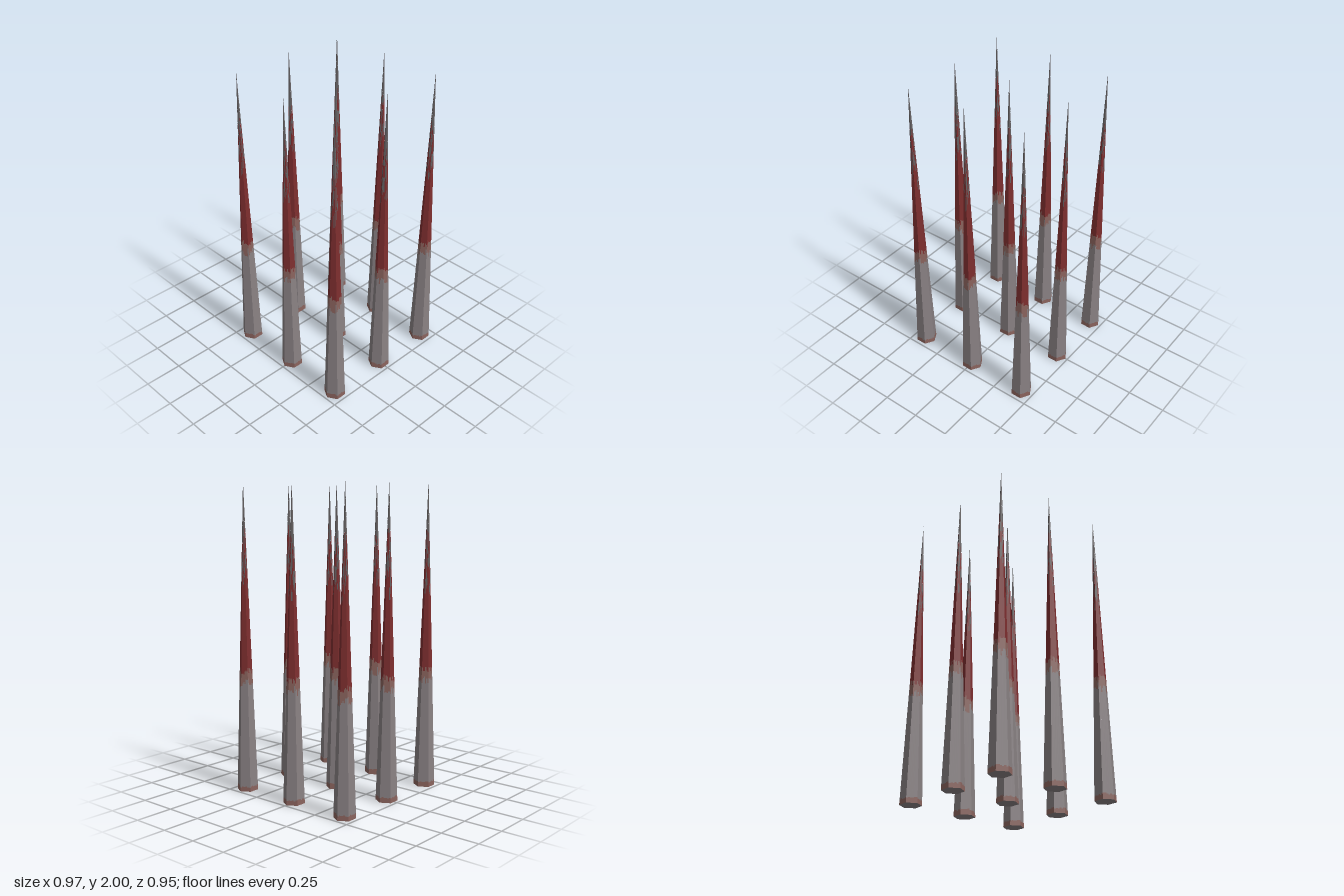
import * as THREE from 'three';

const HEIGHT = 2, RADIUS = 0.07, SPACING = 0.416, SIDES = 6, COLUMNS = 6;

function seeded(seed) {
  return () => (seed = (seed * 16807) % 2147483647) / 2147483647;
}

const mat = (name, color) => {
  const m = new THREE.MeshStandardMaterial({ color });
  m.name = name;
  return m;
};

// Point on the hexagonal cone: side index, fraction across the side, height
function conePoint(side, t, y) {
  const r = Math.max(RADIUS * (1 - y / HEIGHT), 0.0003);
  const a = (side * Math.PI) / 3, b = a + Math.PI / 3;
  return [
    r * THREE.MathUtils.lerp(Math.cos(a), Math.cos(b), t), y,
    -r * THREE.MathUtils.lerp(Math.sin(a), Math.sin(b), t),
  ];
}

export function createModel() {
  const group = new THREE.Group();
  group.name = 'spikeTrap';
  const materials = {
    metal: mat('grey metal', 0x898183),
    blood: mat('dark red', 0x7e2e2f),
    smear: mat('brown smear', 0x8a635d),
    tip: mat('tip grey', 0x666263),
  };

  // Each side is cut into narrow columns whose colour bands end at ragged heights
  const bands = { metal: [], blood: [], smear: [], tip: [] };
  const rand = seeded(4217);
  const vary = (low, high) => low + (high - low) * rand();
  for (let side = 0; side < SIDES; side++) {
    for (let c = 0; c < COLUMNS; c++) {
      const t0 = c / COLUMNS, t1 = (c + 1) / COLUMNS;
      const redEnd = vary(1.28, 1.5);
      const streakEnd = redEnd + vary(0.04, 0.12);
      const steps = [
        ['smear', vary(0.025, 0.04)],
        ['metal', vary(0.69, 0.76)],
        ['smear', vary(0.77, 0.82)],
        ['blood', redEnd],
        ['tip', streakEnd],
        ['blood', streakEnd + vary(0.05, 0.2)],
        ['tip', HEIGHT],
      ];
      let y = 0;
      for (const [name, top] of steps) {
        const a = conePoint(side, t0, y), b = conePoint(side, t1, y);
        const d = conePoint(side, t1, top), e = conePoint(side, t0, top);
        bands[name].push(...a, ...b, ...d, ...a, ...d, ...e);
        y = top;
      }
    }
    // Base cap
    bands.metal.push(0, 0, 0, ...conePoint(side, 1, 0), ...conePoint(side, 0, 0));
  }

  const geometries = {};
  for (const name in bands) {
    const g = new THREE.BufferGeometry();
    g.setAttribute('position', new THREE.Float32BufferAttribute(bands[name], 3));
    g.computeVertexNormals();
    geometries[name] = g;
  }

  // Three by three grid of spikes, each turned by a whole side for variety
  for (let i = 0; i < 9; i++) {
    const spike = new THREE.Group();
    spike.name = `spike${i + 1}`;
    for (const name in geometries) {
      const mesh = new THREE.Mesh(geometries[name], materials[name]);
      mesh.name = `${name}Band`;
      spike.add(mesh);
    }
    spike.position.set(((i % 3) - 1) * SPACING, 0, (Math.floor(i / 3) - 1) * SPACING);
    spike.rotation.y = (i * Math.PI) / 3;
    group.add(spike);
  }
  return group;
}
